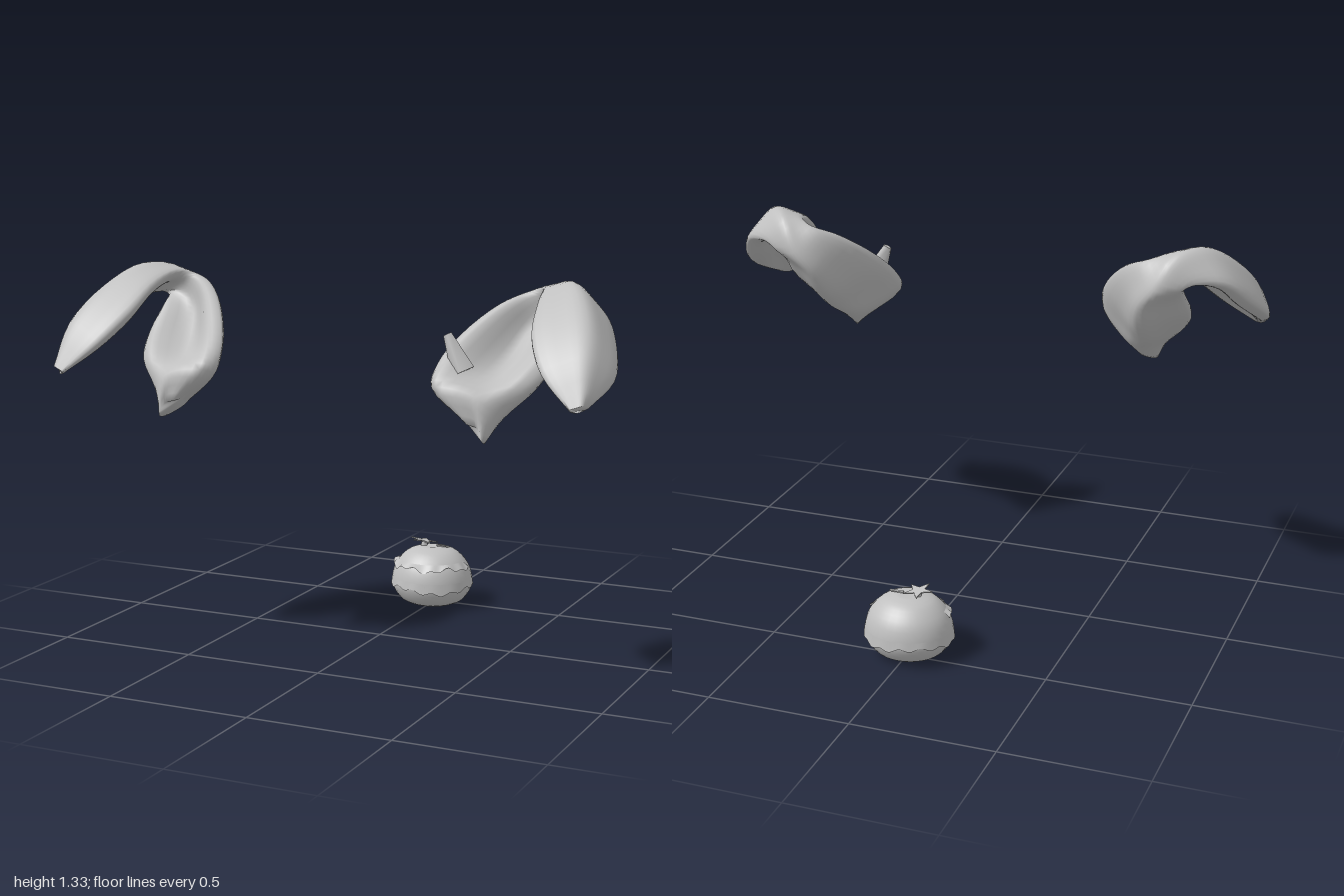
import * as THREE from 'three';

// Ear stations from root, over the fold, to the tip: inner rim, back, outer rim, hollow side
const EAR = [
  [0.52, 0.895, 0.48, 0.545, 0.865, 0.41, 0.59, 0.83, 0.49, 0.57, 0.88, 0.505],
  [0.40, 0.99, 0.47, 0.545, 0.90, 0.36, 0.635, 0.91, 0.45, 0.54, 0.99, 0.51],
  [0.395, 1.06, 0.42, 0.58, 0.955, 0.275, 0.72, 1.00, 0.39, 0.57, 1.03, 0.37],
  [0.44, 1.15, 0.33, 0.59, 1.03, 0.19, 0.755, 1.08, 0.29, 0.60, 1.09, 0.27],
  [0.53, 1.24, 0.22, 0.61, 1.12, 0.128, 0.75, 1.16, 0.20, 0.63, 1.17, 0.20],
  [0.61, 1.28, 0.17, 0.665, 1.20, 0.103, 0.76, 1.20, 0.14, 0.67, 1.23, 0.18],
  [0.67, 1.30, 0.20, 0.72, 1.30, 0.138, 0.80, 1.22, 0.15, 0.71, 1.25, 0.19],
  [0.70, 1.27, 0.32, 0.80, 1.325, 0.25, 0.89, 1.21, 0.205, 0.78, 1.23, 0.28],
  [0.73, 1.18, 0.46, 0.88, 1.255, 0.38, 0.96, 1.13, 0.31, 0.83, 1.15, 0.38],
  [0.80, 1.08, 0.56, 0.935, 1.14, 0.51, 0.997, 1.05, 0.44, 0.89, 1.06, 0.49],
  [0.91, 0.98, 0.61, 0.95, 0.995, 0.60, 0.96, 0.985, 0.57, 0.93, 0.97, 0.595],
];

// Rounded section: full back, thick lips beside each rim, shallow hollow
function section(inner, back, outer, hollow) {
  const depth = hollow.clone().sub(back);
  const blend = (a, b, t, push) => a.clone().lerp(b, t).addScaledVector(depth, push);
  return new THREE.CatmullRomCurve3([
    inner, blend(inner, back, 0.5, -0.12), back, blend(back, outer, 0.5, -0.12),
    outer, blend(outer, inner, 0.14, 0.3), hollow, blend(inner, outer, 0.14, 0.3),
  ], true);
}

// Skin closed cross-sections into a solid, mirrored when side is -1
function earGeometry(side) {
  const rails = [0, 3, 6, 9].map(k => new THREE.CatmullRomCurve3(
    EAR.map(s => new THREE.Vector3(side * s[k], s[k + 1], s[k + 2]))));
  const rows = 40, cols = 32, pos = [], idx = [];
  const tri = (a, b, c) => (side > 0 ? idx.push(a, b, c) : idx.push(a, c, b));
  for (let i = 0; i <= rows; i++) {
    const loop = section(...rails.map(r => r.getPoint(i / rows)));
    for (let j = 0; j < cols; j++) pos.push(...loop.getPoint(j / cols).toArray());
  }
  for (let i = 0; i < rows; i++) {
    for (let j = 0; j < cols; j++) {
      const a = i * cols + j, b = i * cols + (j + 1) % cols;
      tri(a, a + cols, b);
      tri(b, a + cols, b + cols);
    }
  }
  // close both ends
  const last = rows * cols;
  for (let j = 1; j < cols - 1; j++) {
    tri(0, j, j + 1);
    tri(last, last + j + 1, last + j);
  }
  const g = new THREE.BufferGeometry();
  g.setAttribute('position', new THREE.Float32BufferAttribute(pos, 3));
  g.setIndex(idx);
  g.computeVertexNormals();
  return g;
}

// Band of fur around the tail with an uneven lower hem, centred on the front
function ruffle(rTop, yTop, rHem, yHem, teeth, arc) {
  const n = teeth * 6;
  const g = new THREE.CylinderGeometry(rTop, rHem, yTop - yHem, n, 1, true, -arc / 2, arc);
  g.translate(0, (yTop + yHem) / 2, 0);
  const p = g.attributes.position;
  for (let i = n + 1; i < p.count; i++) {
    const t = (i - n - 1) / n * Math.PI * 2;
    p.setY(i, p.getY(i) + 0.006 * Math.sin(t * teeth) + 0.007 * Math.sin(t * 3));
  }
  g.computeVertexNormals();
  return g;
}

function starShape(outer, inner) {
  const s = new THREE.Shape();
  for (let i = 0; i < 10; i++) {
    const r = i % 2 ? inner : outer, a = i * Math.PI / 5;
    s[i ? 'lineTo' : 'moveTo'](r * Math.sin(a), r * Math.cos(a));
  }
  s.closePath();
  return s;
}

export function createModel() {
  const model = new THREE.Group();
  const fur = new THREE.MeshStandardMaterial({ color: 0xc0c0c0, side: THREE.DoubleSide });
  fur.name = 'greyFur';
  const add = (parent, name, geometry) => {
    const m = new THREE.Mesh(geometry, fur);
    m.name = name;
    parent.add(m);
    return m;
  };

  // Folded ears
  add(model, 'leftEar', earGeometry(1));
  add(model, 'rightEar', earGeometry(-1));

  // Loose tuft standing at the root of the left ear
  const tuft = add(model, 'leftEarTuft', new THREE.CylinderGeometry(0.016, 0.045, 0.13, 5));
  tuft.scale.z = 0.7;
  tuft.position.set(0.462, 1.105, 0.425);
  tuft.rotation.z = 0.45;

  // Round tail with a flat underside
  const tail = new THREE.Group();
  tail.name = 'tail';
  tail.position.set(0, 0, -0.473);
  tail.scale.z = 0.93;
  model.add(tail);
  const profile = new THREE.SplineCurve([
    [0.08, 0.003], [0.12, 0.022], [0.149, 0.065], [0.153, 0.105],
    [0.135, 0.16], [0.09, 0.205], [0.035, 0.221],
  ].map(p => new THREE.Vector2(...p))).getPoints(20);
  const outline = [new THREE.Vector2(0, 0), ...profile, new THREE.Vector2(0, 0.218)];
  add(tail, 'tailBody', new THREE.LatheGeometry(outline, 32));
  add(tail, 'lowerRuffle', ruffle(0.153, 0.105, 0.157, 0.073, 13, Math.PI * 2));
  add(tail, 'upperRuffle', ruffle(0.126, 0.174, 0.148, 0.155, 7, Math.PI));

  // Small star of fur on a short stalk
  const star = add(tail, 'tailStar', new THREE.ExtrudeGeometry(starShape(0.055, 0.022),
    { depth: 0.004, bevelEnabled: false }));
  star.position.set(-0.035, 0.237, 0);
  star.rotation.set(-Math.PI / 2 - 0.12, 0.12, 0.2);
  const stalk = add(tail, 'starStalk', new THREE.CylinderGeometry(0.01, 0.014, 0.024, 6));
  stalk.position.set(-0.033, 0.225, 0);
  const wisp = add(tail, 'tailWisp', new THREE.BoxGeometry(0.05, 0.004, 0.012));
  wisp.position.set(0.045, 0.224, 0);
  return model;
}
